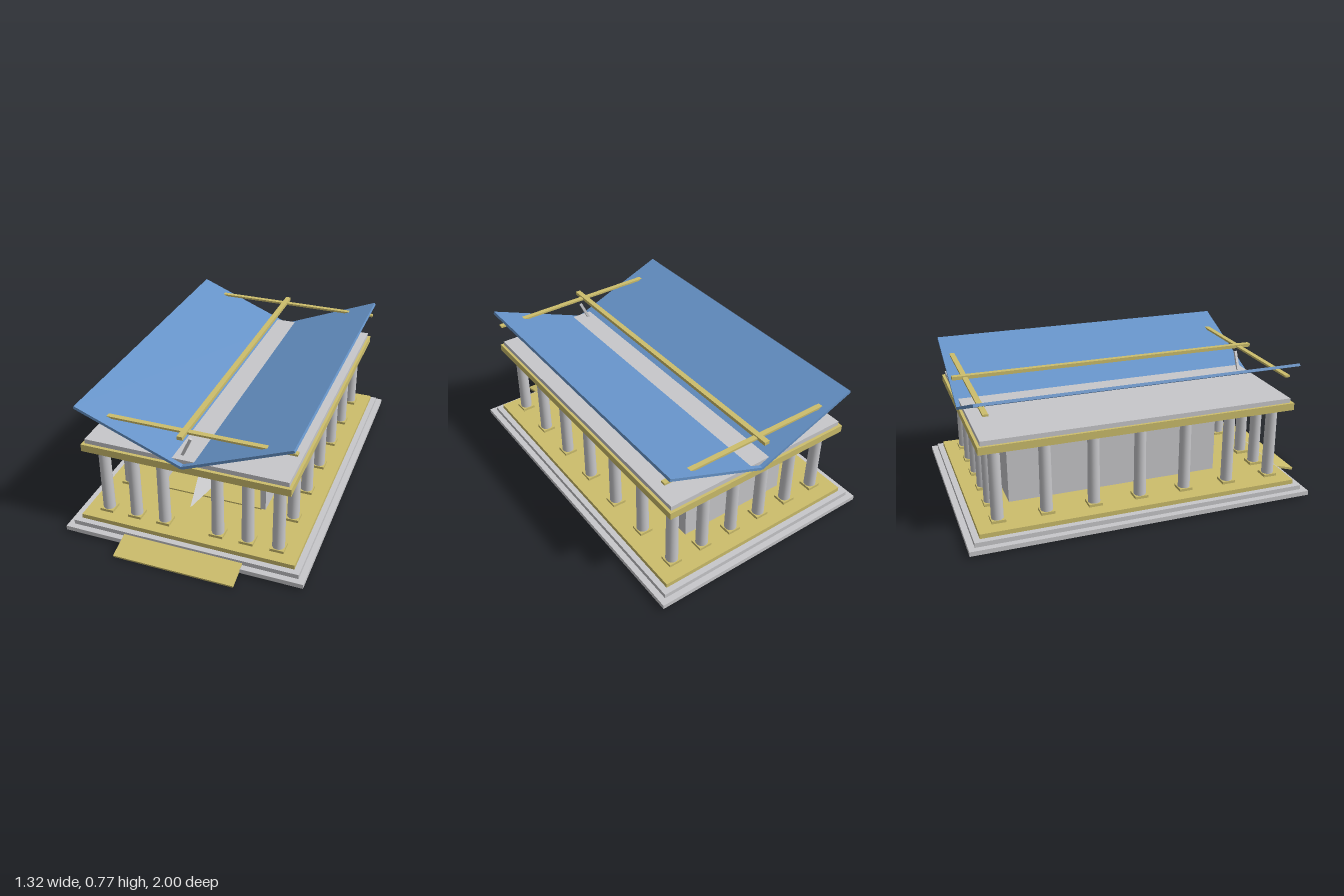
import * as THREE from 'three';

export function createModel() {
  const model = new THREE.Group();
  const mat = (name, color) => {
    const m = new THREE.MeshStandardMaterial({ color });
    m.name = name;
    return m;
  };
  const stone = mat('stone', 0xc8c8cb);
  const gold = mat('gold', 0xcdbe6c);
  const blue = mat('blue', 0x6693c8);

  const add = (name, geometry, material, parent = model) => {
    const mesh = new THREE.Mesh(geometry, material);
    mesh.name = name;
    parent.add(mesh);
    return mesh;
  };
  // Box given by its limits on each axis
  const box = (name, material, x0, x1, y0, y1, z0, z1, parent = model) => {
    const mesh = add(name, new THREE.BoxGeometry(x1 - x0, y1 - y0, z1 - z0), material, parent);
    mesh.position.set((x0 + x1) / 2, (y0 + y1) / 2, (z0 + z1) / 2);
    return mesh;
  };

  // Stepped platform
  box('lowerStep', stone, -0.66, 0.66, 0.015, 0.04, -1.0, 0.9);
  box('middleStep', stone, -0.627, 0.627, 0.04, 0.065, -0.967, 0.867);
  box('platformFloor', gold, -0.595, 0.595, 0.065, 0.09, -0.935, 0.835);

  // Sloping entrance ramp
  const ramp = add('ramp', new THREE.BoxGeometry(0.66, 0.013, 0.14), gold);
  ramp.position.set(0, 0.027, 0.932);
  ramp.rotation.x = 0.27;

  // Columns with plinths and capitals
  const shaft = new THREE.CylinderGeometry(0.031, 0.033, 0.38, 20);
  const plinth = new THREE.BoxGeometry(0.075, 0.015, 0.075);
  const capital = new THREE.BoxGeometry(0.08, 0.015, 0.08);
  const column = (x, z) => {
    const group = new THREE.Group();
    group.name = 'column';
    group.position.set(x, 0, z);
    add('shaft', shaft, stone, group).position.y = 0.295;
    add('plinth', plinth, gold, group).position.y = 0.0975;
    add('capital', capital, gold, group).position.y = 0.4925;
    model.add(group);
  };
  const zFront = 0.735, zBack = -0.82;
  for (const side of [-1, 1]) {
    for (let i = 0; i < 7; i++) column(side * 0.48, zFront + (zBack - zFront) * i / 6);
    for (const x of [0.315, 0.15]) column(side * x, zFront);
    for (const x of [0.288, 0.096]) column(side * x, zBack);
  }

  // Inner chamber, open to the front
  box('chamberFloor', gold, -0.3, 0.3, 0.09, 0.098, -0.645, 0.47);
  for (const side of [-1, 1]) {
    const wall = box('sideWall', stone, -0.015, 0.015, 0.095, 0.49, -0.725, 0.47);
    wall.position.x = side * 0.307;
  }
  box('backWall', stone, -0.292, 0.292, 0.095, 0.49, -0.725, -0.695);
  box('crossWall', stone, -0.292, 0.292, 0.095, 0.49, -0.36, -0.33);

  // Altar and pedestals inside the chamber
  box('altarBase', gold, -0.115, 0.115, 0.098, 0.13, -0.2, 0.0);
  box('altarBlock', stone, -0.09, 0.09, 0.098, 0.173, 0.05, 0.2);
  box('altarTop', gold, -0.1, 0.1, 0.173, 0.183, 0.04, 0.21);
  for (const side of [-1, 1]) {
    add('pedestal', new THREE.CylinderGeometry(0.038, 0.038, 0.065, 20), gold).position.set(side * 0.215, 0.128, 0.25);
    add('orb', new THREE.SphereGeometry(0.029, 20, 14), stone).position.set(side * 0.215, 0.178, 0.25);
  }

  // Leaning four-cornered stone wedge at the entrance
  const a = [-0.06, 0.37, 0.36], b = [0.06, 0.2, 0.37], c = [-0.06, 0.11, 0.61], d = [-0.06, 0.11, 0.36];
  const wedge = new THREE.BufferGeometry();
  const corners = [a, c, b, c, d, b, a, d, c, a, b, d].flat();
  wedge.setAttribute('position', new THREE.Float32BufferAttribute(corners, 3));
  wedge.computeVertexNormals();
  add('stoneWedge', wedge, stone);

  // Beam frame and ceiling slab
  box('beamFrame', gold, -0.56, 0.56, 0.5, 0.54, -0.91, 0.825);
  box('ceilingSlab', stone, -0.545, 0.545, 0.54, 0.565, -0.895, 0.807);

  // Two blue panels rising outward in a V
  const angle = Math.atan2(0.23, 0.57);
  for (const side of [-1, 1]) {
    const panel = add('roofPanel', new THREE.BoxGeometry(0.615, 0.015, 1.75), blue);
    panel.position.set(side * 0.285, 0.648, -0.042);
    panel.rotation.z = side * angle;
  }

  // Long pole, cross bars and the leaning prop
  box('ridgePole', gold, -0.015, 0.015, 0.699, 0.718, -0.93, 0.835);
  for (const z of [-0.862, 0.762]) box('crossBar', gold, -0.57, 0.57, 0.7, 0.711, z - 0.014, z + 0.014);
  const prop = add('leaningProp', new THREE.BoxGeometry(0.015, 0.125, 0.015), stone);
  prop.position.set(0, 0.61, 0.762);
  prop.rotation.z = -0.43;

  return model;
}
